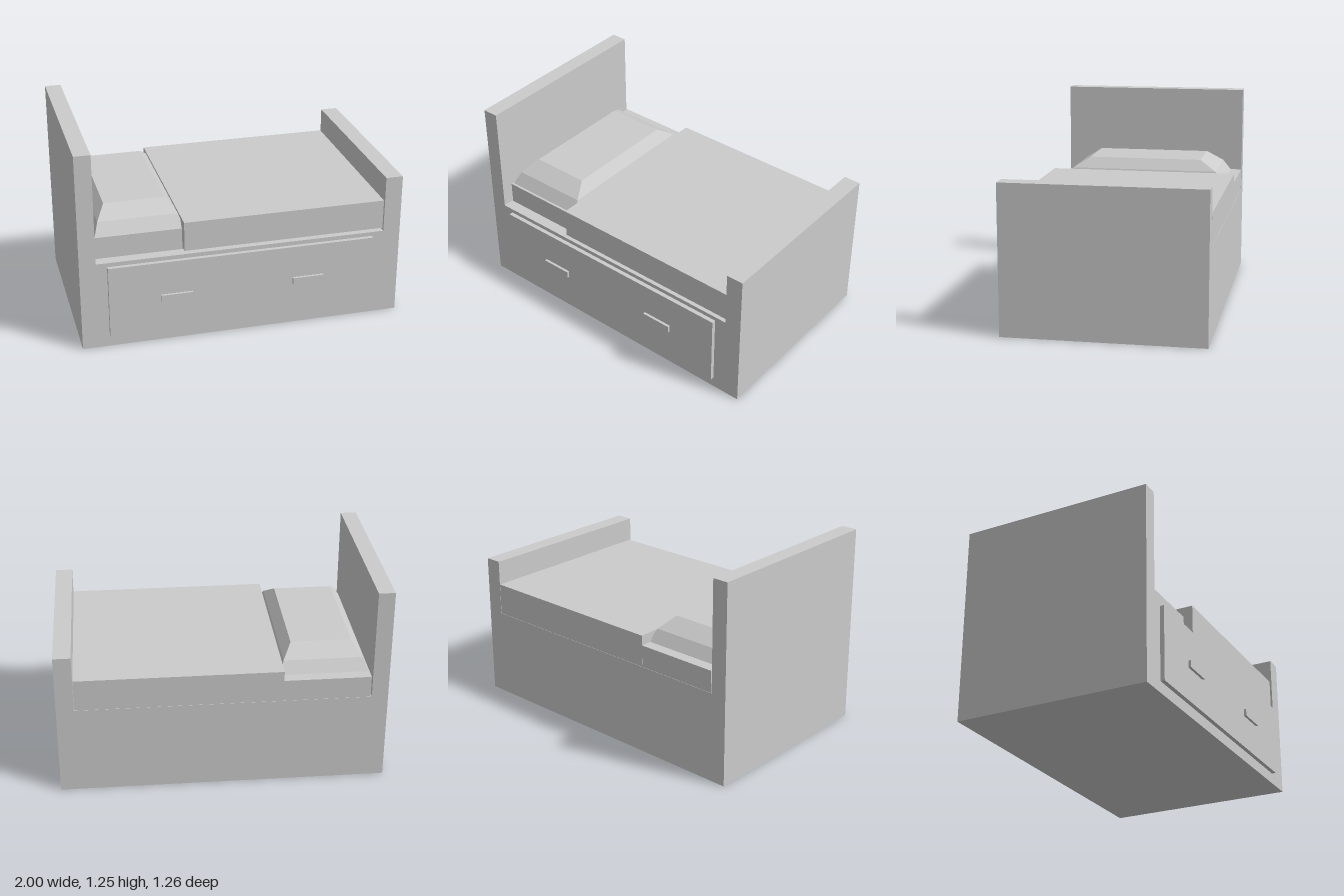
import * as THREE from 'three';

const material = new THREE.MeshStandardMaterial({ color: 0xcccccc, flatShading: true });

function add(group, name, geometry) {
  const mesh = new THREE.Mesh(geometry, material);
  mesh.name = name;
  group.add(mesh);
  return mesh;
}

// Box given by its limits on each axis
function addBox(group, name, [x0, x1], [y0, y1], [z0, z1]) {
  const mesh = add(group, name, new THREE.BoxGeometry(x1 - x0, y1 - y0, z1 - z0));
  mesh.position.set((x0 + x1) / 2, (y0 + y1) / 2, (z0 + z1) / 2);
}

// Stack of rectangles [y, half width, half depth], closed at both ends
function taperedStack(levels) {
  const positions = [];
  const index = [];
  for (const [y, w, d] of levels) {
    positions.push(-w, y, d, w, y, d, w, y, -d, -w, y, -d);
  }
  for (let i = 0; i < levels.length - 1; i++) {
    for (let k = 0; k < 4; k++) {
      const a = i * 4 + k;
      const b = i * 4 + (k + 1) % 4;
      index.push(a, b, b + 4, a, b + 4, a + 4);
    }
  }
  const t = (levels.length - 1) * 4;
  index.push(t, t + 1, t + 2, t, t + 2, t + 3, 0, 2, 1, 0, 3, 2);
  const geometry = new THREE.BufferGeometry();
  geometry.setAttribute('position', new THREE.Float32BufferAttribute(positions, 3));
  geometry.setIndex(index);
  const flat = geometry.toNonIndexed();
  flat.computeVertexNormals();
  return flat;
}

export function createModel() {
  const bed = new THREE.Group();
  bed.name = 'bed';
  const back = -0.632;
  const front = 0.59;

  // Frame: headboard, base and footboard as one profile
  const profile = new THREE.Shape([
    [-1, 0], [1, 0], [1, 0.915], [0.893, 0.915],
    [0.893, 0.56], [-0.9, 0.56], [-0.9, 1.253], [-1, 1.253],
  ].map(([x, y]) => new THREE.Vector2(x, y)));
  const frame = new THREE.ExtrudeGeometry(profile, { depth: front - back, bevelEnabled: false });
  add(bed, 'frame', frame).position.z = back;

  // Bedding
  addBox(bed, 'mattress', [-0.893, 0.89], [0.56, 0.697], [back + 0.002, 0.52]);
  addBox(bed, 'blanket', [-0.364, 0.891], [0.575, 0.76], [back, 0.578]);
  const pillow = add(bed, 'pillow', taperedStack([
    [0.695, 0.27, 0.533],
    [0.768, 0.243, 0.48],
    [0.835, 0.187, 0.373],
  ]));
  pillow.position.set(-0.617, 0, -0.027);

  // Drawer with two handles
  addBox(bed, 'drawerFront', [-0.834, 0.819], [0.07, 0.534], [front - 0.01, 0.616]);
  addBox(bed, 'rightHandle', [-0.52, -0.326], [0.277, 0.321], [0.61, 0.632]);
  addBox(bed, 'leftHandle', [0.305, 0.5], [0.283, 0.328], [0.61, 0.632]);

  return bed;
}
